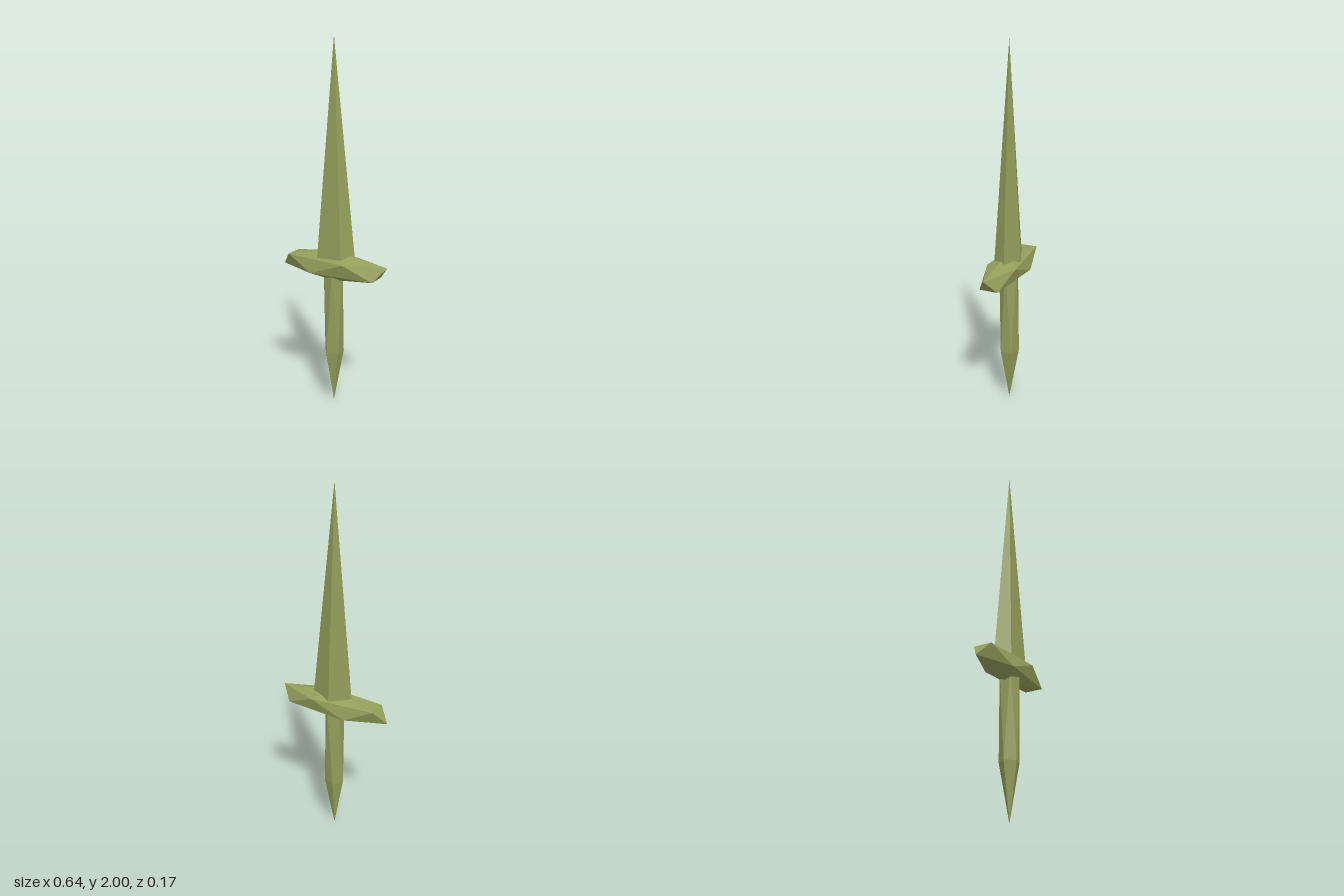
import * as THREE from 'three';

const olive = new THREE.MeshStandardMaterial({ color: 0x939e5a });
olive.name = 'olive';
olive.flatShading = true;

// Stretched icosahedron with poles on the y axis and an upper-ring corner at +x
function gem(name, rx, ry, rz, y) {
  const geometry = new THREE.IcosahedronGeometry(1, 0);
  geometry.rotateZ(-Math.atan(2 / (1 + Math.sqrt(5))));
  geometry.scale(rx, ry, rz);
  geometry.computeVertexNormals();
  const mesh = new THREE.Mesh(geometry, olive);
  mesh.name = name;
  mesh.position.y = y;
  return mesh;
}

// Five-sided tapering blade, one edge to the back, its base sunk in the guard
function makeBlade(base, tip) {
  const height = tip - base;
  const geometry = new THREE.ConeGeometry(1, height, 5);
  geometry.rotateY(Math.PI);
  geometry.scale(0.1065 * height, 1, 0.0585 * height);
  const mesh = new THREE.Mesh(geometry, olive);
  mesh.name = 'blade';
  mesh.position.y = (base + tip) / 2;
  return mesh;
}

export function createModel() {
  const model = new THREE.Group();
  model.name = 'dagger';
  model.add(
    makeBlade(0.82, 2),
    gem('crossGuard', 0.358, 0.084, 0.097, 0.797),
    gem('handle', 0.0615, 0.543, 0.0605, 0.543),
  );
  return model;
}
